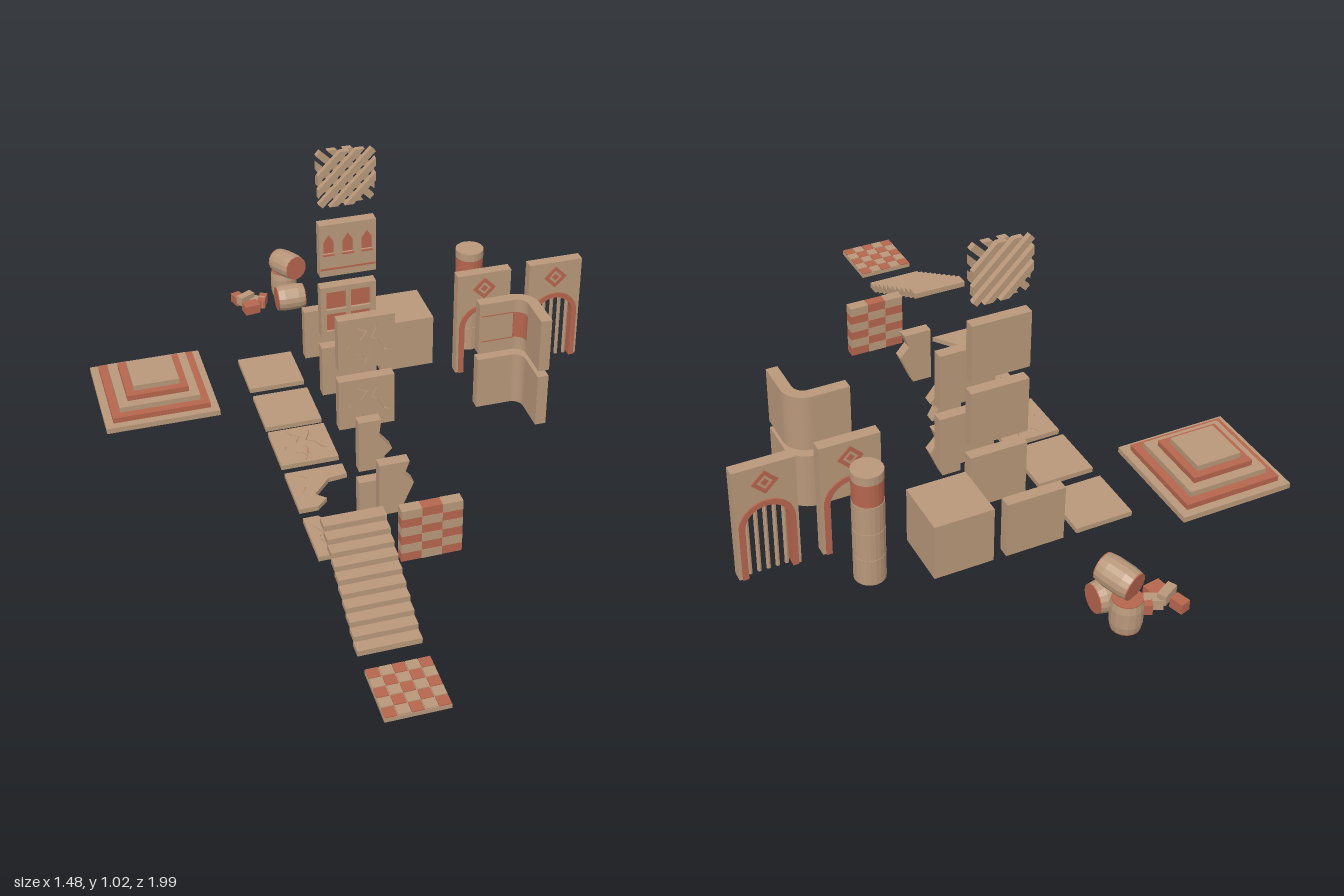
import * as THREE from 'three';

const tan = new THREE.MeshStandardMaterial({ color: 0xb8977a, flatShading: true });
const red = new THREE.MeshStandardMaterial({ color: 0xb5654d, flatShading: true });
const S = 0.169, H = S / 2, T = 0.033, BASE = 0.21;

function add(parent, name, geo, mat, x = 0, y = 0, z = 0) {
  const m = new THREE.Mesh(geo, mat);
  m.name = name;
  m.position.set(x, y, z);
  parent.add(m);
  return m;
}
const box = (parent, name, mat, w, h, d, x, y, z) => add(parent, name, new THREE.BoxGeometry(w, h, d), mat, x, y, z);
const poly = (pts) => new THREE.Shape(pts.map((p) => new THREE.Vector2(...p)));
// extrusion centred on z
const slab = (shape, depth) =>
  new THREE.ExtrudeGeometry(shape, { depth, bevelEnabled: false, curveSegments: 10 }).translate(0, 0, -depth / 2);
const square = () => poly([[-H, -H], [H, -H], [H, H], [-H, H]]);

function group(parent, name, x = 0, y = 0, z = 0) {
  const g = new THREE.Group();
  g.name = name;
  g.position.set(x, y, z);
  parent.add(g);
  return g;
}

// jagged slit along a polyline, pointed at both ends
function crack(pts, w = 0.0022) {
  const inner = pts.slice(1, -1);
  return poly([pts[0], ...inner.map(([x, y]) => [x + w, y + w / 2]), pts[pts.length - 1],
    ...inner.reverse().map(([x, y]) => [x - w, y - w / 2])]);
}
const CRACKS = [
  [[-0.035, 0.08], [-0.022, 0.05], [0.0, 0.038], [-0.018, 0.012], [-0.05, 0.0], [-0.06, -0.02]],
  [[0.035, 0.078], [0.028, 0.045], [0.014, 0.018], [0.035, 0.005], [0.055, -0.03], [0.08, -0.04]],
  [[-0.035, -0.03], [-0.012, -0.04], [0.0, -0.055], [-0.01, -0.08]],
  [[0.0, 0.0], [0.01, -0.022], [0.004, -0.045], [0.02, -0.06]],
];

// panel with a cut front layer over a solid back
function cutPanel(parent, name, holes, thick, backMat, x, y, z) {
  const g = group(parent, name, x, y, z);
  const s = square();
  s.holes.push(...holes);
  const front = Math.min(0.01, thick * 0.4);
  add(g, 'cutFace', slab(s, front), tan, 0, 0, thick / 2 - front / 2);
  box(g, 'backing', tan, S, S, thick - front, 0, 0, -front / 2);
  if (backMat !== tan) box(g, 'inlay', backMat, S * 0.97, S * 0.97, 0.001, 0, 0, thick / 2 - front + 0.0005);
  return g;
}

// pointed or round arch outline
function archShape(r, foot, spring, pointed) {
  const s = new THREE.Shape();
  s.moveTo(-r, foot); s.lineTo(r, foot); s.lineTo(r, spring);
  if (pointed) { s.lineTo(0, spring + r * 1.5); s.lineTo(-r, spring); }
  else s.absarc(0, spring, r, 0, Math.PI, false);
  s.lineTo(-r, foot);
  return s;
}

function gate(root, name, x, bars) {
  const g = group(root, name, x, BASE, -0.368);
  const wall = poly([[-H, 0], [-0.062, 0], [-0.062, 0.16]]);
  wall.absarc(0, 0.16, 0.062, Math.PI, 0, true);
  [[0.062, 0], [H, 0], [H, 0.343], [-H, 0.343]].forEach((p) => wall.lineTo(...p));
  add(g, 'archWall', slab(wall, T), tan);
  const trim = poly([[-0.076, 0], [-0.06, 0], [-0.06, 0.16]]);
  trim.absarc(0, 0.16, 0.06, Math.PI, 0, true);
  trim.lineTo(0.06, 0); trim.lineTo(0.076, 0); trim.lineTo(0.076, 0.16);
  trim.absarc(0, 0.16, 0.076, 0, Math.PI, false);
  add(g, 'archTrim', slab(trim, 0.043), red);
  const diamond = (r) => [[0, -r], [r, 0], [0, r], [-r, 0]];
  const d = poly(diamond(0.036));
  d.holes.push(poly(diamond(0.022)));
  add(g, 'diamondFrame', slab(d, T + 0.006), red, 0, 0.292, 0);
  add(g, 'diamondCentre', slab(poly(diamond(0.011)), T + 0.006), red, 0, 0.292, 0);
  if (!bars) return;
  for (let i = -2; i <= 2; i++) {
    const bx = i * 0.025, h = 0.16 + Math.sqrt(0.062 ** 2 - bx ** 2);
    add(g, 'bar', new THREE.CylinderGeometry(0.006, 0.006, h, 8), tan, bx, h / 2, 0);
  }
}

// bend seen from above, swept upward
function bendWall(root, name, y) {
  const g = group(root, name, 0, y, 0);
  const s = poly([[0.341, 0.158], [0.341, 0.191], [0.445, 0.191]]);
  s.absarc(0.445, 0.125, 0.066, Math.PI / 2, 0, true);
  s.lineTo(0.511, 0.023); s.lineTo(0.478, 0.023); s.lineTo(0.478, 0.125);
  s.absarc(0.445, 0.125, 0.033, 0, Math.PI / 2, false);
  add(g, 'bend', slab(s, S).rotateX(-Math.PI / 2), tan);
  return g;
}

function barrel(parent, name, r, h, x, y, z, rx = 0, ry = 0, rz = 0) {
  const g = group(parent, name, x, y, z);
  g.rotation.set(rx, ry, rz, 'YXZ');
  const pts = [[0.9, -0.5], [1, -0.25], [1, 0.25], [0.9, 0.5]].map(([a, b]) => new THREE.Vector2(a * r, b * h));
  add(g, 'staves', new THREE.LatheGeometry(pts, 16), tan);
  add(g, 'heads', new THREE.CylinderGeometry(r * 0.91, r * 0.91, h * 1.01, 16), red);
}

export function createModel() {
  const root = new THREE.Group();
  root.name = 'dungeonKit';

  // stepped platform
  const plat = group(root, 'steppedPlatform', -0.573, BASE, -0.508);
  [0.34, 0.292, 0.242, 0.185, 0.138].forEach((w, i) =>
    box(plat, 'tier', i % 2 ? red : tan, w, 0.017, w, 0, 0.0085 + i * 0.017, 0));

  // floor tiles
  const FX = -0.209, FT = 0.015, FY = BASE + FT / 2;
  for (const z of [-0.508, -0.3]) box(root, 'floorTile', tan, S, FT, S, FX, FY, z);
  cutPanel(root, 'crackedFloor', CRACKS.map((c) => crack(c, 0.0015)), FT, red, FX, FY, -0.107).rotation.x = -Math.PI / 2;
  const brokenFloors = [
    [0.099, [[-H, H], [-H, -H], [-0.03, -H], [0.002, -0.055], [-0.025, -0.03], [0.03, 0.03], [H, 0.036], [H, H]],
      [[-0.06, 0.07], [-0.03, 0.05], [-0.04, 0.01], [-0.06, -0.02]]],
    [0.307, [[-H, H], [-H, -H], [0.037, -H], [0.005, -0.04], [-0.015, -0.015], [0.01, 0.02], [-0.042, H]],
      [[-0.07, 0.05], [-0.05, 0.02], [-0.06, -0.01], [-0.04, -0.05]]],
  ];
  for (const [z, pts, slit] of brokenFloors) {
    const s = poly(pts);
    s.holes.push(crack(slit, 0.0015));
    const g = group(root, 'brokenFloor', FX, FY, z);
    add(g, 'brokenTop', slab(s, 0.006).rotateX(-Math.PI / 2), tan, 0, 0.0045, 0);
    add(g, 'brokenBase', slab(poly(pts), 0.009).rotateX(-Math.PI / 2), tan, 0, -0.003, 0);
  }
  // chequered floor
  const cf = group(root, 'chequeredFloor', FX, BASE, 0.912);
  box(cf, 'base', tan, S, 0.012, S, 0, 0.006, 0);
  const c = S / 5;
  for (let i = 0; i < 5; i++) for (let j = 0; j < 5; j++)
    box(cf, 'tile', (i + j) % 2 ? tan : red, c * 0.93, 0.004, c * 0.93, (i - 2) * c, 0.0135, (j - 2) * c);

  // stairs of ten separate treads
  const stairs = group(root, 'stairs', FX, BASE, 0);
  for (let i = 0; i < 10; i++)
    box(stairs, 'tread', tan, S, 0.0168, 0.039, 0, 0.0085 + i * 0.017, 0.746 - i * 0.0343);

  // plain wall and solid block
  box(root, 'plainWall', tan, S, S, T, 0, 0.295, -0.577);
  box(root, 'block', tan, S, S, S, 0.205, 0.295, -0.508);

  // chequered wall, three by six
  const cw = group(root, 'chequeredWall', 0, BASE, 0.44);
  for (let i = 0; i < 3; i++) for (let j = 0; j < 6; j++) {
    const isRed = (i + j) % 2 === 0;
    box(cw, 'brick', isRed ? red : tan, S / 3, S / 6, isRed ? T - 0.002 : T, (i - 1) * S / 3, (j + 0.5) * S / 6, 0);
  }

  // broken walls
  const brokenA = [[-H, -H], [-0.026, -H], [0.014, 0.01], [-0.014, 0.042], [0.001, H], [-H, H]];
  const brokenB = [[-H, -H], [0.008, -H], [-0.012, -0.045], [0.014, -0.02], [-0.025, 0.03], [-0.018, H], [-H, H]];
  for (const [pts, y, z] of [[brokenA, 0.085, 0.033], [brokenB, 0.295, 0.033], [brokenA, 0.295, 0.237]])
    add(root, 'brokenWall', slab(poly(pts), T), tan, 0, y, z);

  // cracked walls
  for (const y of [0.295, 0.503])
    cutPanel(root, 'crackedWall', CRACKS.map((k) => crack(k)), T, tan, 0, y, -0.177);

  // tall stack: inlaid walls, windows, lattice
  const SZ = -0.365;
  box(root, 'plainWall', tan, S, S, T, 0, 0.295, SZ);
  const inlaid = [-1, 1].flatMap((i) => [-1, 1].map((j) =>
    poly([[-0.03, -0.03], [0.03, -0.03], [0.03, 0.03], [-0.03, 0.03]].map(([a, b]) => [a + i * 0.037, b + j * 0.037]))));
  cutPanel(root, 'inlaidWall', inlaid, T, red, 0, 0.503, SZ);
  const windows = [-0.057, 0, 0.057].map((x) =>
    poly(archShape(0.016, -0.012, 0.028, true).getPoints().slice(0, 5).map((p) => [p.x + x, p.y])));
  const win = cutPanel(root, 'windowWall', windows, T, red, 0, 0.71, SZ);
  for (const x of [-0.057, 0, 0.057]) box(win, 'sill', red, 0.034, 0.005, 0.004, x, -0.014, T / 2);
  box(win, 'ledge', red, S * 0.98, 0.006, 0.003, 0, -0.06, T / 2);

  const lattice = group(root, 'lattice', 0, 0.935, SZ);
  for (const dir of [1, -1]) for (let k = -2; k <= 2; k++) {
    const off = k * 0.045, w = 0.009;
    // each diagonal bar is mitred against the square's edges
    const a = off - w * 1.4, b = off + w * 1.4, cl = (v) => Math.max(-H, Math.min(H, v));
    const pts = [[cl(-H - a), cl(-H + a)], [cl(H - a), cl(H + a)], [cl(H - b), cl(H + b)], [cl(-H - b), cl(-H + b)]];
    const s = poly(dir > 0 ? pts : pts.map(([x, y]) => [-x, y]).reverse());
    add(lattice, 'diagonalBar', slab(s, T / 2), tan, 0, 0, dir * T / 4);
  }

  // bent walls, the upper one with red inlay
  bendWall(root, 'bentWall', 0.295);
  const bent = bendWall(root, 'inlaidBentWall', 0.485);
  const arc = new THREE.Shape();
  arc.absarc(0.445, 0.125, 0.0345, 0, Math.PI / 2, false);
  arc.absarc(0.445, 0.125, 0.032, Math.PI / 2, 0, true);
  add(bent, 'cornerInlay', slab(arc, 0.085).rotateX(-Math.PI / 2), red);
  for (const y of [-0.043, 0.043]) box(bent, 'lineInlay', red, 0.1, 0.003, 0.002, 0.396, y, -0.158);

  // arches with and without bars
  gate(root, 'openArch', 0.425, false);
  gate(root, 'barredGate', 0.654, true);

  // round column
  const col = group(root, 'column', 0.43, BASE, -0.505);
  [[0, 0.08, 0.043], [0.082, 0.164, 0.043], [0.166, 0.25, 0.043], [0.252, 0.32, 0.039, red], [0.32, 0.345, 0.043],
    [0, 0.34, 0.0415]].forEach(([a, b, r, m = tan]) => {
    if (m === red) r = 0.042;
    add(col, 'drum', new THREE.CylinderGeometry(r, r, b - a, 20), m, 0, (a + b) / 2, 0);
  });

  // barrel pile
  const pile = group(root, 'barrels');
  barrel(pile, 'standingBarrel', 0.043, 0.09, -0.057, 0.265, -0.952);
  barrel(pile, 'lyingBarrel', 0.043, 0.09, -0.057, 0.253, -0.868, 0, 0, Math.PI / 2);
  barrel(pile, 'topBarrel', 0.042, 0.1, -0.052, 0.35, -0.915, Math.PI / 2 - 0.12, 0.4, 0);

  // small rubble heap
  const rubble = group(root, 'rubble', 0, BASE, 0);
  [[-0.215, -0.95, 0.03, 0.04, 0.3, red], [-0.195, -0.92, 0.055, 0.026, 0.5, tan], [-0.185, -0.885, 0.05, 0.04, 0.15, red],
    [-0.16, -0.915, 0.05, 0.03, -0.5, tan], [-0.14, -0.915, 0.025, 0.05, -0.4, red]].forEach(([x, z, w, d, a, m], i) => {
    box(rubble, 'chunk', m, w, 0.03, d, x, 0.015 + (i === 1 ? 0.016 : 0), z).rotation.y = a;
  });
  return root;
}
